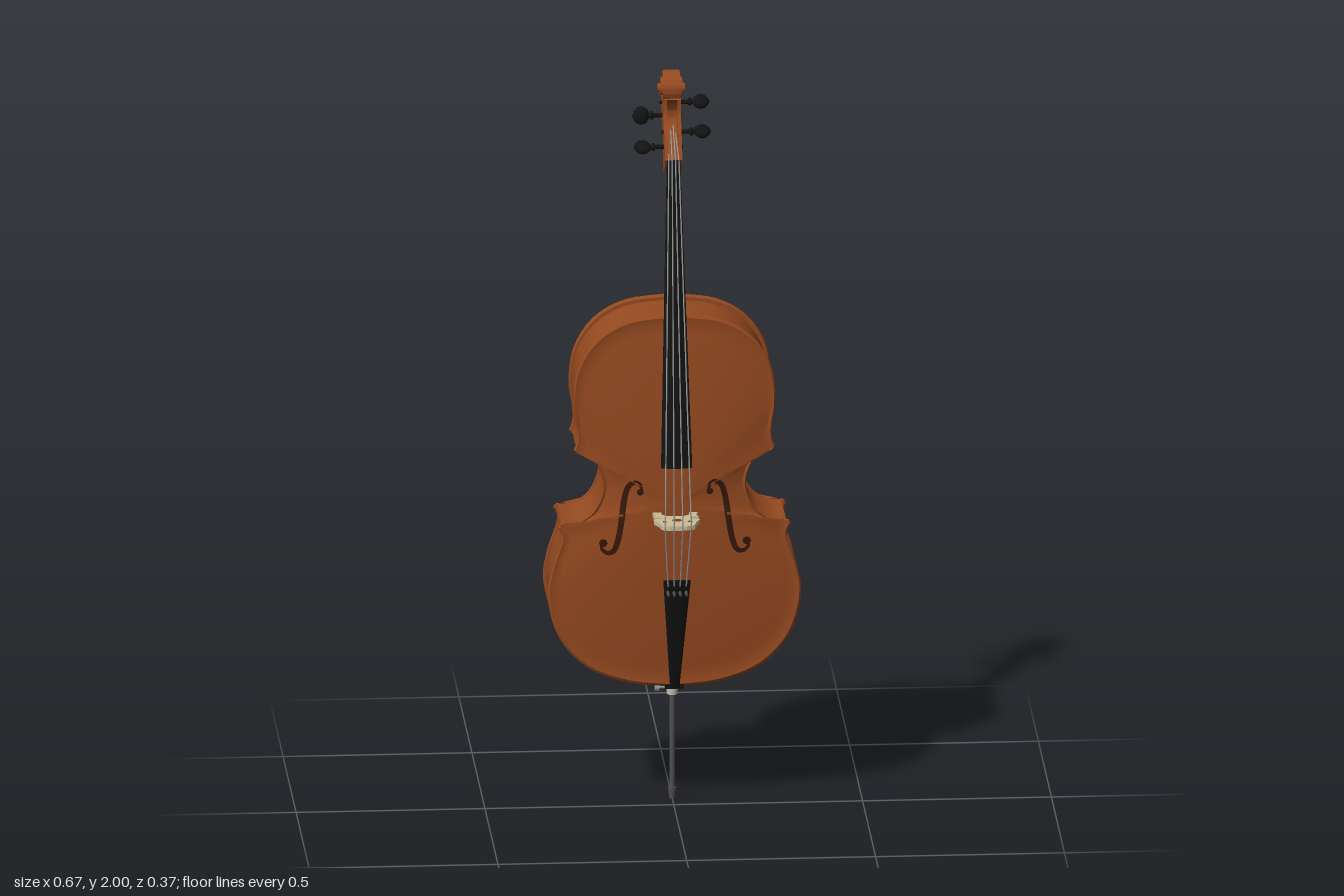
import * as THREE from 'three';
import { toCreasedNormals } from 'three/addons/utils/BufferGeometryUtils.js';

const V = (x, y, z) => new THREE.Vector3(x, y, z);
const paint = (name, color, side = THREE.FrontSide) => {
  const m = new THREE.MeshStandardMaterial({ color, side });
  m.name = name;
  return m;
};

// Surface through rows of points; rows may be closed loops, ends may be capped.
function skin(rows, { closed = true, caps = false, crease = 0.6 } = {}) {
  if (caps) {
    const middle = (row) => {
      const c = row.reduce((s, p) => s.add(p), V(0, 0, 0)).divideScalar(row.length);
      return row.map(() => c);
    };
    rows = [middle(rows[0]), ...rows, middle(rows[rows.length - 1])];
  }
  const pos = [];
  const tri = (a, b, c) => {
    if (a.distanceTo(b) > 1e-7 && b.distanceTo(c) > 1e-7 && c.distanceTo(a) > 1e-7) {
      for (const p of [a, b, c]) pos.push(p.x, p.y, p.z);
    }
  };
  for (let i = 0; i < rows.length - 1; i++) {
    const n = rows[i].length;
    for (let j = 0; j < (closed ? n : n - 1); j++) {
      const k = (j + 1) % n;
      tri(rows[i][j], rows[i][k], rows[i + 1][k]);
      tri(rows[i][j], rows[i + 1][k], rows[i + 1][j]);
    }
  }
  const g = new THREE.BufferGeometry();
  g.setAttribute('position', new THREE.Float32BufferAttribute(pos, 3));
  return toCreasedNormals(g, crease);
}

const spline = (pts, n, closed = false) =>
  new THREE.SplineCurve(pts.map((p) => new THREE.Vector2(...p))).getPoints(n);

// Body outline: lower bout, waist and upper bout, mirrored
const MID = 0.85;
const half = [
  ...spline([[0, 0.335], [0.12, 0.348], [0.23, 0.392], [0.305, 0.475], [0.335, 0.58], [0.325, 0.66], [0.302, 0.73], [0.298, 0.757], [0.308, 0.78]], 32),
  ...spline([[0.304, 0.788], [0.265, 0.79], [0.215, 0.823], [0.189, 0.89], [0.203, 0.95], [0.228, 0.978], [0.262, 0.988]], 24),
  ...spline([[0.266, 0.995], [0.258, 1.02], [0.259, 1.06], [0.268, 1.13], [0.255, 1.22], [0.205, 1.3], [0.12, 1.35], [0, 1.365]], 28),
];
const outline = [...half, ...half.slice(1, -1).reverse().map((p) => new THREE.Vector2(-p.x, p.y))];
const ring = (s, z) => outline.map((p) => V(p.x * s, MID + (p.y - MID) * s, z));
const arch = (s) => (s > 0.95 ? 0 : 1 - Math.pow(s / 0.95, 1.8));
const bellyZ = (s) => 0.028 + 0.03 * arch(s);
const steps = Array.from({ length: 20 }, (_, i) => 0.95 * (1 - i / 19));

// Height of the belly at any point, from its share of the outline radius
function bellyAt(x, y) {
  const a = Math.atan2(y - MID, Math.abs(x));
  for (let i = 0; i < half.length - 1; i++) {
    const [p, q] = [half[i], half[i + 1]];
    const a0 = Math.atan2(p.y - MID, p.x), a1 = Math.atan2(q.y - MID, q.x);
    if (a >= a0 && a <= a1) {
      const r = new THREE.Vector2().lerpVectors(p, q, (a - a0) / (a1 - a0 || 1));
      return bellyZ(Math.hypot(x, y - MID) / Math.hypot(r.x, r.y - MID));
    }
  }
  return bellyZ(0);
}

// Side profile given as [z, y], extruded across x
function sideCut(pts, x, width) {
  const g = new THREE.ExtrudeGeometry(new THREE.Shape(pts), { depth: width, bevelEnabled: false });
  g.translate(0, 0, -width / 2).rotateY(-Math.PI / 2).translate(x, 0, 0);
  return toCreasedNormals(g, 0.6);
}

// Board with flat back and rounded front, lying between two heights
function board(y0, z0, w0, y1, z1, w1, thick) {
  const row = (y, z, w) => [
    V(w, y, z - thick), V(-w, y, z - thick), V(-w, y, z - thick * 0.4), V(-w * 0.6, y, z - thick * 0.13),
    V(0, y, z), V(w * 0.6, y, z - thick * 0.13), V(w, y, z - thick * 0.4),
  ];
  return skin([row(y0, z0, w0), row(y1, z1, w1)], { caps: true });
}

function rod(a, b, r, r2 = r, sides = 8) {
  const g = new THREE.CylinderGeometry(r2, r, a.distanceTo(b), sides);
  g.applyQuaternion(new THREE.Quaternion().setFromUnitVectors(V(0, 1, 0), b.clone().sub(a).normalize()));
  return g.translate((a.x + b.x) / 2, (a.y + b.y) / 2, (a.z + b.z) / 2);
}

export function createModel() {
  const model = new THREE.Group();
  model.name = 'cello';
  const varnish = paint('varnished wood', 0x964a20);
  const bare = paint('bare wood', 0xb48a5e);
  const ebony = paint('ebony', 0x131313);
  const pale = paint('pale wood', 0xcbbd98);
  const steel = paint('string steel', 0x9a9a9a);
  const iron = paint('dark steel', 0x505055);
  const collarGrey = paint('collar', 0xcdc6b8);
  const shade = paint('sound hole shade', 0x35180b, THREE.DoubleSide);
  const add = (name, g, mat, parent = model) => {
    const m = new THREE.Mesh(g, mat);
    m.name = name;
    parent.add(m);
    return m;
  };

  // Body
  add('backPlate', skin([
    ...[...steps].reverse().map((s) => ring(s, -0.163 - 0.022 * arch(s))),
    ring(0.985, -0.166), ring(1, -0.161), ring(1, -0.156), ring(0.99, -0.151), ring(0.965, -0.151)]), varnish);
  add('ribs', skin([ring(0.972, -0.153), ring(0.972, 0.018)]), varnish);
  add('belly', skin([
    ring(0.965, 0.016), ring(0.99, 0.016), ring(1, 0.021), ring(1, 0.026), ring(0.985, 0.031),
    ...steps.map((s) => ring(s, bellyZ(s)))]), varnish);

  // Sound holes laid on the belly
  const stroke = spline([[0.088, 0.884], [0.092, 0.902], [0.106, 0.909], [0.124, 0.895], [0.134, 0.86], [0.141, 0.81], [0.149, 0.76], [0.161, 0.723], [0.179, 0.715], [0.194, 0.727], [0.193, 0.742]], 44);
  for (const side of [1, -1]) {
    const on = (x, y) => V(x * side, y, bellyAt(x, y) + 0.002);
    const rows = stroke.map((p, i) => {
      const t = stroke[Math.min(i + 1, 44)].clone().sub(stroke[Math.max(i - 1, 0)]).normalize();
      const w = 0.003 + 0.005 * Math.sin((Math.PI * i) / 44);
      return [on(p.x - t.y * w, p.y + t.x * w), on(p.x + t.y * w, p.y - t.x * w)];
    });
    add('soundHole', skin(rows, { closed: false }), shade);
    for (const [x, y, r] of [[0.092, 0.882, 0.009], [0.19, 0.742, 0.011]]) {
      add('soundHoleEye', new THREE.CircleGeometry(r, 16).translate(x * side, y, bellyAt(x, y) + 0.003), shade);
    }
  }

  // Neck, heel and fingerboard
  const boardZ = (y) => 0.125 - (y - 0.967) * 0.151;
  const boardW = (y) => 0.041 - (y - 0.967) * 0.029;
  const neckRows = [1.44, 1.5, 1.6, 1.7, 1.765].map((y, i) => Array.from({ length: 13 }, (_, j) => {
    const a = (Math.PI * j) / 12;
    return V(Math.cos(a) * boardW(y) * 0.98, y, boardZ(y) - 0.018 - Math.sin(a) * (0.026 - i * 0.001));
  }));
  add('neck', skin(neckRows, { caps: true }), bare);
  add('heel', sideCut([[-0.162, 1.35], [0.035, 1.35], [0.041, 1.4], [0.036, 1.46], [0.009, 1.465], [0.004, 1.435], [-0.012, 1.415], [-0.05, 1.407], [-0.162, 1.398]], 0, 0.052), varnish);
  add('fingerboard', board(0.967, 0.125, 0.041, 1.772, 0.004, 0.0176, 0.02), ebony);
  add('nut', new THREE.BoxGeometry(0.036, 0.01, 0.024).translate(0, 1.777, -0.006), ebony);

  // Pegbox: two cheeks around a recessed core
  const front = spline([[0, 1.782], [-0.012, 1.81], [-0.03, 1.845], [-0.05, 1.875], [-0.06, 1.9], [-0.06, 1.93]], 14);
  const back = spline([[-0.1, 1.955], [-0.15, 1.945], [-0.159, 1.91], [-0.145, 1.875], [-0.115, 1.84], [-0.085, 1.812], [-0.073, 1.785], [-0.071, 1.748], [-0.06, 1.733], [-0.036, 1.736], [-0.024, 1.752], [-0.012, 1.758]], 34);
  for (const x of [0.0185, -0.0185]) add('pegboxCheek', sideCut([...front, ...back], x, 0.009), varnish);
  const floor = front.map((p, i) => new THREE.Vector2(p.x - 0.035 * Math.sin((Math.PI * i) / 14), p.y));
  add('pegboxCore', sideCut([...floor, ...back], 0, 0.03), varnish);

  // Scroll: a band winding inward and widening towards the eye
  const turns = [];
  for (let i = 0; i <= 72; i++) {
    const t = i / 72, a = t * Math.PI * 4.3, r = 0.058 - 0.044 * Math.pow(t, 0.8), w = 0.021 + 0.013 * t;
    const at = (x, q) => V(x, 1.952 + Math.sin(a) * q * 0.9, -0.102 - Math.cos(a) * q);
    turns.push([at(w, r - 0.011), at(w, r), at(-w, r), at(-w, r - 0.011)]);
  }
  add('scroll', skin(turns, { caps: true }), varnish);
  add('scrollCore', new THREE.CylinderGeometry(0.043, 0.043, 0.042, 32).rotateZ(Math.PI / 2).translate(0, 1.952, -0.102), varnish);
  add('scrollEye', new THREE.CylinderGeometry(0.012, 0.012, 0.072, 20).rotateZ(Math.PI / 2).translate(0, 1.952, -0.102), varnish);

  // Pegs with flattened heads
  const pegs = [[-1, 1.805, -0.048, 0.4], [1, 1.84, -0.067, 0.4], [-1, 1.875, -0.105, 1.4], [1, 1.903, -0.13, 0.5]];
  const lathe = (pts) => new THREE.LatheGeometry(pts.map((p) => new THREE.Vector2(...p)), 20);
  for (const [side, y, z, turn] of pegs) {
    const peg = new THREE.Group();
    peg.name = 'peg';
    model.add(peg);
    const place = (g) => g.rotateZ((-side * Math.PI) / 2).rotateX(turn).translate(0, y, z);
    add('pegShaft', place(lathe([[0, -0.028], [0.005, -0.028], [0.006, 0.046], [0.011, 0.048], [0.011, 0.054], [0.006, 0.057], [0.006, 0.065], [0, 0.065]])), ebony, peg);
    add('pegHead', place(lathe([[0, 0.057], [0.012, 0.06], [0.021, 0.068], [0.025, 0.079], [0.022, 0.09], [0.013, 0.098], [0, 0.104]]).scale(0.55, 1, 1)), ebony, peg);
  }

  // Bridge standing on the belly
  const edge = [[0.022, 0.184], [0.044, 0.174], [0.048, 0.155], [0.054, 0.138], [0.061, 0.126], [0.055, 0.115], [0.042, 0.116], [0.036, 0.108], [0.042, 0.1], [0.06, 0.098], [0.053, 0.08], [0.061, 0.053], [0.036, 0.053], [0.038, 0.075], [0.022, 0.09]];
  const bridge = new THREE.Shape([...edge, ...edge.map(([x, z]) => [-x, z]).reverse()].map((p) => new THREE.Vector2(...p)));
  const hole = (x, y, r) => bridge.holes.push(new THREE.Path().absarc(x, y, r, 0, Math.PI * 2, true));
  hole(0, 0.128, 0.013);
  hole(0.034, 0.14, 0.007);
  hole(-0.034, 0.14, 0.007);
  add('bridge', new THREE.ExtrudeGeometry(bridge, { depth: 0.012, bevelEnabled: false, curveSegments: 8 })
    .rotateX(Math.PI / 2).translate(0, 0.826, 0), pale);

  // Tailpiece, its cord and the saddle
  add('tailpiece', board(0.335, 0.045, 0.012, 0.658, 0.135, 0.036, 0.016), ebony);
  add('saddle', new THREE.BoxGeometry(0.05, 0.012, 0.02).translate(0, 0.337, 0.026), ebony);
  for (const x of [0.007, -0.007]) add('tailCord', rod(V(x, 0.338, 0.038), V(x, 0.326, -0.055), 0.0025), steel);

  // Strings from pegs over nut and bridge to the fine tuners
  const order = [0, 2, 3, 1];
  for (let i = 0; i < 4; i++) {
    const k = i - 1.5;
    const [, py, pz] = pegs[order[i]];
    const path = [V(k * 0.006, py, pz + 0.005), V(k * 0.009, 1.783, 0.006), V(k * 0.023, 0.82, 0.187 - k * k * 0.004), V(k * 0.016, 0.645, 0.133)];
    for (let j = 0; j < 3; j++) add('string', rod(path[j], path[j + 1], 0.002, 0.002, 6), steel);
    add('fineTuner', rod(V(k * 0.016, 0.628, 0.118), V(k * 0.016, 0.622, 0.142), 0.004), iron);
  }

  // Endpin
  const pz = -0.063;
  add('endpinCollar', rod(V(0, 0.288, pz), V(0, 0.318, pz), 0.014, 0.017, 20), collarGrey);
  add('endpinFlange', rod(V(0, 0.318, pz), V(0, 0.346, pz), 0.023, 0.023, 20), collarGrey);
  add('endpinRod', rod(V(0, 0.015, pz), V(0, 0.29, pz), 0.0075, 0.0075, 14), iron);
  add('endpinTip', rod(V(0, 0, pz), V(0, 0.03, pz), 0.008, 0.011, 14), iron);
  add('endpinScrew', rod(V(0, 0.307, pz), V(-0.036, 0.307, pz), 0.004), steel);
  add('endpinScrewHead', rod(V(-0.034, 0.307, pz), V(-0.046, 0.307, pz), 0.011, 0.011, 16), steel);
  return model;
}
